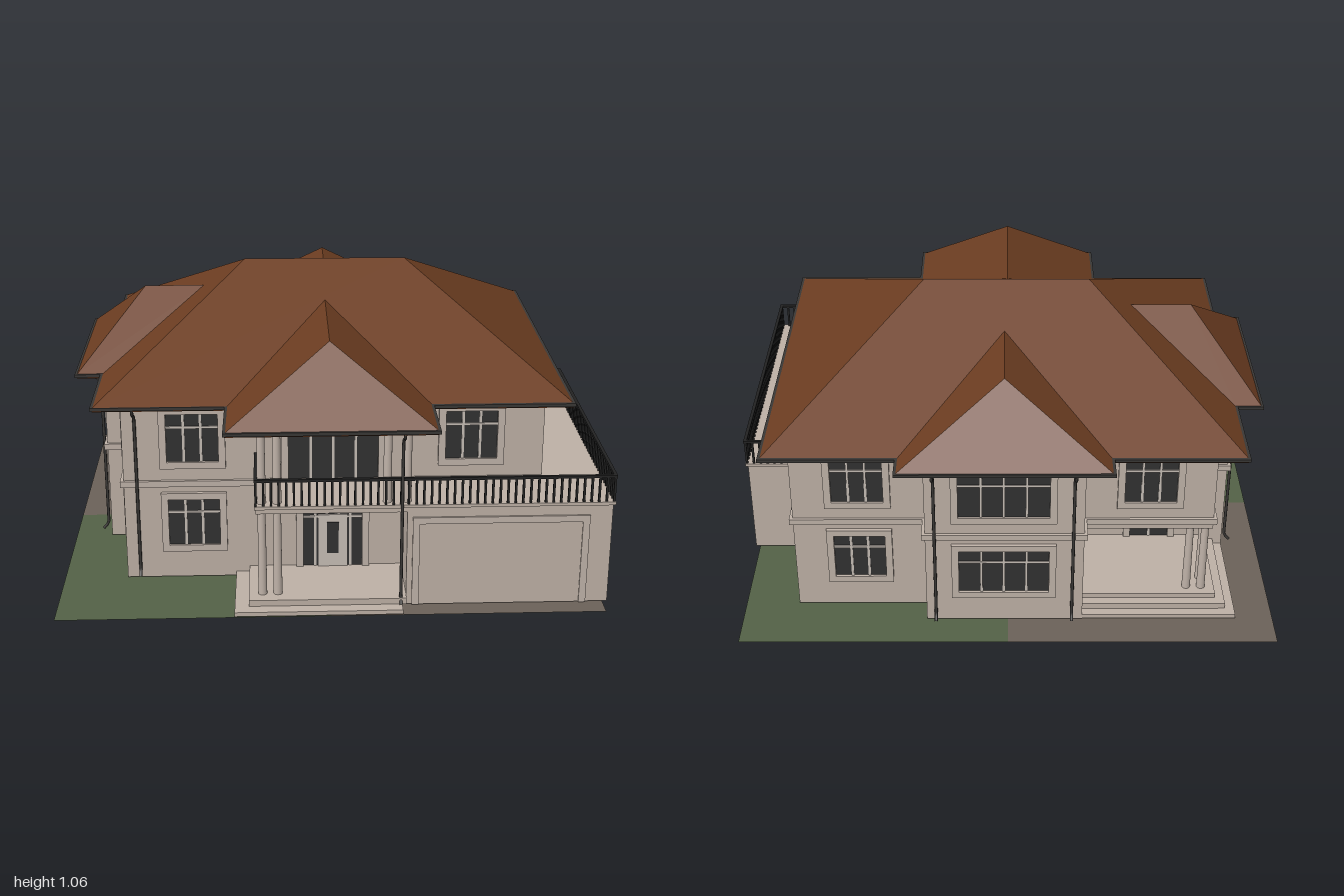
import * as THREE from 'three';
import { mergeGeometries } from 'three/addons/utils/BufferGeometryUtils.js';

const mat = (name, color, side = THREE.FrontSide) => {
  const m = new THREE.MeshStandardMaterial({ color, side });
  m.name = name;
  return m;
};

export function createModel() {
  const house = new THREE.Group();
  house.name = 'house';
  const M = {
    wall: mat('wall plaster', 0xbdb0a5),
    trim: mat('window trim', 0xbfb2a8),
    roof: mat('roof tile', 0x6c3d21),
    glass: mat('dark glass', 0x313131),
    bar: mat('window bars', 0xc6bdb5),
    metal: mat('gutter metal', 0x393735),
    rail: mat('railing iron', 0x222222),
    grass: mat('grass', 0x536146, THREE.DoubleSide),
    paving: mat('paving', 0x6b6158, THREE.DoubleSide),
  };

  // Box geometry from its limits
  const span = (x0, x1, y0, y1, z0, z1) =>
    new THREE.BoxGeometry(x1 - x0, y1 - y0, z1 - z0).translate((x0 + x1) / 2, (y0 + y1) / 2, (z0 + z1) / 2);
  const add = (name, material, geos, parent = house) => {
    const mesh = new THREE.Mesh(Array.isArray(geos) ? mergeGeometries(geos) : geos, material);
    mesh.name = name;
    parent.add(mesh);
    return mesh;
  };

  // Ground in four flat quarters
  const gx = -0.015, gz = -0.02, Y = 0.006;
  const quarter = (x0, x1, z0, z1) =>
    new THREE.PlaneGeometry(x1 - x0, z1 - z0).rotateX(-Math.PI / 2).translate((x0 + x1) / 2, 0, (z0 + z1) / 2);
  add('lawn', M.grass, [quarter(-1, gx, gz, 0.86), quarter(gx, 0.97, -0.9, gz)]);
  add('pavedYard', M.paving, [quarter(-1, gx, -0.9, gz), quarter(gx, 0.97, gz, 0.86)]);

  // Walls: the ground floor leaves an open porch at the back left corner
  add('groundFloorWalls', M.wall, [
    span(-0.29, 0.77, Y, 0.37, -0.68, 0.545),
    span(-0.765, -0.29, Y, 0.37, -0.33, 0.545),
    span(-0.86, -0.765, Y, 0.37, -0.33, 0.18),
    span(-0.29, 0.285, Y, 0.37, -0.775, -0.68),
  ]);
  add('upperFloorWalls', M.wall, [
    span(-0.765, 0.77, 0.37, 0.7, -0.68, 0.545),
    span(-0.86, -0.765, 0.37, 0.7, -0.33, 0.18),
    span(-0.29, 0.285, 0.37, 0.7, -0.775, -0.68),
  ]);
  add('garageWalls', M.wall, [span(0.255, 0.985, Y, 0.388, 0.545, 0.79), span(0.77, 0.985, Y, 0.388, -0.322, 0.545)]);
  add('porchBeam', M.wall, span(-0.765, -0.29, 0.35, 0.37, -0.68, -0.64));
  add('porchSideBeam', M.wall, span(-0.765, -0.725, 0.35, 0.37, -0.64, -0.33));

  // Floor band and balcony deck
  const b = 0.012;
  add('floorBand', M.trim, [
    [-0.765, 0.77, -0.68, 0.545], [-0.86, -0.765, -0.33, 0.18], [-0.29, 0.285, -0.775, -0.68],
  ].map(([x0, x1, z0, z1]) => span(x0 - b, x1 + b, 0.375, 0.398, z0 - b, z1 + b)));
  add('balconyDeck', M.wall, [span(-0.285, 0.993, 0.388, 0.4, 0.545, 0.796), span(0.77, 0.993, 0.388, 0.4, -0.33, 0.545)]);
  add('balconyBeam', M.wall, span(-0.28, 0.255, 0.37, 0.388, 0.55, 0.79));

  // Steps and porch floors
  add('frontSteps', M.wall, [span(-0.36, 0.24, Y, 0.022, 0.54, 0.865), span(-0.31, 0.255, 0.022, 0.045, 0.54, 0.82)]);
  add('backSteps', M.wall, [
    span(-0.86, -0.29, Y, 0.022, -0.772, -0.33),
    span(-0.825, -0.29, 0.022, 0.044, -0.735, -0.33),
    span(-0.79, -0.29, 0.044, 0.065, -0.7, -0.33),
  ]);

  // Plain round columns
  function column(x, z, y0, y1) {
    add('column', M.trim, new THREE.CylinderGeometry(0.014, 0.016, y1 - y0, 16).translate(x, (y0 + y1) / 2, z));
  }
  for (const x of [-0.26, -0.205]) column(x, 0.763, 0.045, 0.37);
  for (const x of [-0.26, -0.205, 0.185, 0.255]) column(x, 0.76, 0.4, 0.7);
  for (const [x, z] of [[-0.74, -0.655], [-0.685, -0.655], [-0.74, -0.6]]) column(x, z, 0.065, 0.35);

  // Window or glazed door: (x, z) on the wall, turned to face out
  function opening(name, x, z, turn, w, y0, y1, cols, door = false) {
    const g = new THREE.Group();
    g.name = name;
    g.position.set(x, 0, z);
    g.rotation.y = turn;
    house.add(g);
    const h = w / 2, t = 0.026, i = h - t, low = door ? y0 : y0 + t, top = y1 - t;
    const frame = [span(-h, -i, y0, y1, 0, 0.014), span(i, h, y0, y1, 0, 0.014), span(-i, i, top, y1, 0, 0.014)];
    if (!door) frame.push(span(-i, i, y0, low, 0, 0.014));
    add('surround', M.trim, frame, g);
    add('glass', M.glass, span(-i, i, low, top, 0, 0.004), g);
    const sash = top - (top - low) * 0.28, e = 0.0045;
    const bars = [span(-i, i, sash - e, sash + e, 0, 0.009)];
    for (let k = 1; k < cols; k++) {
      const u = -i + (2 * i * k) / cols;
      bars.push(span(u - e, u + e, low, top, 0, 0.008));
    }
    add('bars', M.bar, bars, g);
    return g;
  }
  const BACK = Math.PI, LEFT = -Math.PI / 2, RIGHT = Math.PI / 2;
  const floors = [[0.115, 0.35], [0.447, 0.685]];
  for (const [y0, y1] of floors) {
    opening('frontWindow', -0.51, 0.545, 0, 0.24, y0, y1, 3);
    opening('leftBayWindow', -0.86, -0.075, LEFT, 0.34, y0, y1, 4);
    opening('leftNarrowWindow', -0.765, 0.36, LEFT, 0.15, y0, y1, 2);
    opening('backBayWindow', 0, -0.775, BACK, 0.38, y0, y1, 4);
    opening('backWindow', 0.53, -0.68, BACK, 0.24, y0, y1, 3);
  }
  const [, [u0, u1]] = floors;
  opening('frontRightWindow', 0.505, 0.545, 0, 0.24, u0, u1, 3);
  opening('overPorchWindow', -0.53, -0.68, BACK, 0.24, u0, u1, 3);
  opening('rightNarrowWindow', 0.77, 0.125, RIGHT, 0.15, u0, u1, 2);
  opening('rightWideWindow', 0.77, -0.15, RIGHT, 0.24, u0, u1, 3);
  for (const [z, cols] of [[0.62, 1], [0.238, 2], [-0.155, 2]]) opening('garageWindow', 0.985, z, RIGHT, 0.15, 0.115, 0.35, cols);
  opening('porchWindow', -0.29, -0.48, LEFT, 0.17, 0.13, 0.34, 2);
  opening('porchDoor', -0.57, -0.33, BACK, 0.2, 0.065, 0.345, 2, true);
  opening('balconyDoor', 0.002, 0.545, 0, 0.38, 0.4, 0.685, 4, true);
  const entry = opening('entranceDoor', 0, 0.545, 0, 0.27, 0.045, 0.35, 5, true);
  add('doorLeaf', M.bar, span(-0.055, 0.055, 0.045, 0.255, 0.004, 0.012), entry);
  add('doorPane', M.glass, span(-0.022, 0.022, 0.1, 0.225, 0.012, 0.016), entry);

  // Garage door with stepped surround
  add('garageSurround', M.trim, [
    span(0.275, 0.3, Y, 0.35, 0.79, 0.797), span(0.88, 0.905, Y, 0.35, 0.79, 0.797), span(0.3, 0.88, 0.325, 0.35, 0.79, 0.797),
  ]);
  add('garageDoor', M.wall, span(0.3, 0.88, Y, 0.325, 0.785, 0.792));

  // Balcony railing
  const railing = [];
  const path = [[-0.28, 0.55], [-0.28, 0.788], [0.987, 0.788], [0.987, -0.323], [0.775, -0.323]];
  for (let k = 0; k < path.length - 1; k++) {
    const [ax, az] = path[k], [bx, bz] = path[k + 1];
    const x0 = Math.min(ax, bx), x1 = Math.max(ax, bx), z0 = Math.min(az, bz), z1 = Math.max(az, bz);
    const e = 0.006, r = 0.004;
    railing.push(span(x0 - e, x1 + e, 0.492, 0.502, z0 - e, z1 + e));
    const n = Math.round((x1 - x0 + z1 - z0) / 0.027);
    for (let j = 0; j <= n; j++) {
      const x = ax + ((bx - ax) * j) / n, z = az + ((bz - az) * j) / n;
      railing.push(span(x - r, x + r, 0.4, 0.495, z - r, z + r));
    }
  }
  add('balconyRailing', M.rail, railing);

  // Roof board and gutter follow the eave outline
  const eave = [
    [-0.855, 0.625], [-0.38, 0.625], [-0.38, 0.88], [0.35, 0.88], [0.35, 0.635], [0.855, 0.635], [0.855, -0.77], [0.375, -0.77],
    [0.375, -0.865], [-0.38, -0.865], [-0.38, -0.77], [-0.855, -0.77], [-0.855, -0.42], [-0.95, -0.42], [-0.95, 0.27], [-0.855, 0.27],
  ];
  const outline = new THREE.Shape(eave.map(([x, z]) => new THREE.Vector2(x, -z)));
  add('eaveBoard', M.roof,
    new THREE.ExtrudeGeometry(outline, { depth: 0.014, bevelEnabled: false }).rotateX(-Math.PI / 2).translate(0, 0.698, 0));
  add('gutter', M.metal, eave.map(([ax, az], k) => {
    const [bx, bz] = eave[(k + 1) % eave.length], e = 0.007;
    return span(Math.min(ax, bx) - e, Math.max(ax, bx) + e, 0.703, 0.715, Math.min(az, bz) - e, Math.max(az, bz) + e);
  }));

  // Roof slopes: each face is a fan of corner points
  const E = 0.713;
  function slopes(name, faces) {
    const pos = faces.flatMap((f) => f.slice(2).flatMap((p, k) => [...f[0], ...f[k + 1], ...p]));
    const g = new THREE.BufferGeometry();
    g.setAttribute('position', new THREE.Float32BufferAttribute(pos, 3));
    g.computeVertexNormals();
    add(name, M.roof, g);
  }
  const A = [-0.855, E, 0.63], B = [0.855, E, 0.63], C = [0.855, E, -0.77], D = [-0.855, E, -0.77];
  const P = [-0.32, 1.063, -0.07], Q = [0.3, 1.063, -0.07];
  slopes('mainRoof', [[A, B, Q, P], [B, C, Q], [C, D, P, Q], [D, A, P]]);

  // Hipped wing, in a frame where the wing points to +z, then turned
  function wing(name, turn, l, r, inner, outer, ridgeIn, ridgeOut) {
    const c = (l + r) / 2, R = 0.957;
    const pt = (x, y, z) => new THREE.Vector3(x, y, z).applyAxisAngle(new THREE.Vector3(0, 1, 0), turn).toArray();
    const a = pt(l, E, outer), d = pt(r, E, outer), e = pt(l, E, inner), f = pt(r, E, inner);
    const i = pt(c, R, ridgeIn), o = pt(c, R, ridgeOut);
    slopes(name, [[a, d, o], [d, f, i, o], [e, a, o, i]]);
  }
  wing('frontWingRoof', 0, -0.38, 0.35, 0.63, 0.88, 0.14, 0.635);
  wing('backWingRoof', BACK, -0.375, 0.38, 0.77, 0.865, 0.285, 0.63);
  wing('leftWingRoof', LEFT, -0.42, 0.27, 0.855, 0.95, 0.48, 0.71);

  // Downpipes: from the eave edge back to the wall, down, and out at the foot
  function downpipe(x, z, dx, dz, reach) {
    const pts = [[reach, 0.7], [reach, 0.685], [0.01, 0.655], [0, 0.63], [0, 0.06], [0, 0.045], [0.02, 0.022]]
      .map(([o, y]) => new THREE.Vector3(x + dx * o, y, z + dz * o));
    const curve = new THREE.CurvePath();
    for (let k = 0; k < pts.length - 1; k++) curve.add(new THREE.LineCurve3(pts[k], pts[k + 1]));
    add('downpipe', M.metal, new THREE.TubeGeometry(curve, 40, 0.0058, 8));
  }
  downpipe(-0.715, 0.557, 0, 1, 0.065);
  downpipe(0.235, 0.808, 0, 1, 0.065);
  downpipe(0.782, -0.375, 1, 0, 0.07);
  downpipe(-0.25, -0.79, 0, -1, 0.075);
  downpipe(0.25, -0.79, 0, -1, 0.075);
  downpipe(-0.875, -0.3, -1, 0, 0.072);
  downpipe(-0.875, 0.15, -1, 0, 0.072);

  return house;
}
